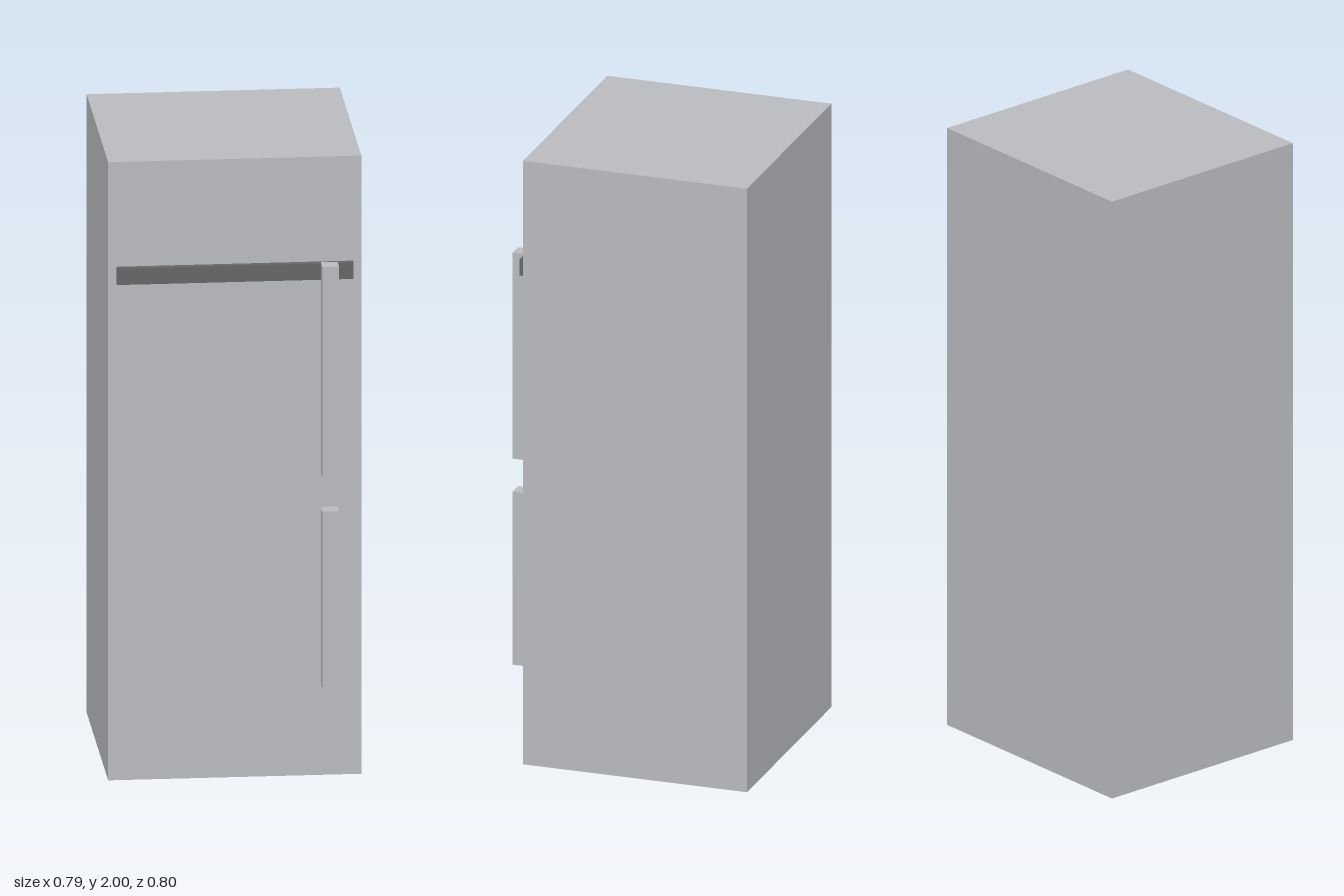
import * as THREE from 'three';

const steel = new THREE.MeshStandardMaterial({ name: 'brushed steel', color: 0xb9babe });
const darkGrey = new THREE.MeshStandardMaterial({ name: 'dark grey', color: 0x666666 });

// Box given by its minimum and maximum corners
function box(name, material, min, max) {
  const size = max.map((v, i) => v - min[i]);
  const mesh = new THREE.Mesh(new THREE.BoxGeometry(...size), material);
  mesh.position.set(...max.map((v, i) => (v + min[i]) / 2));
  mesh.name = name;
  return mesh;
}

export function createModel() {
  const fridge = new THREE.Group();
  fridge.name = 'refrigerator';

  // Cabinet
  fridge.add(box('cabinet', steel, [-0.394, 0, -0.398], [0.394, 2, 0.338]));

  // Dark strip across the front
  fridge.add(box('frontStrip', darkGrey, [-0.368, 1.608, 0.338], [0.368, 1.661, 0.359]));

  // Door handles, standing slightly clear of the front
  const handles = [['upperHandle', 0.979, 1.661], ['lowerHandle', 0.296, 0.869]];
  for (const [name, bottom, top] of handles) {
    fridge.add(box(name, steel, [0.267, bottom, 0.346], [0.319, top, 0.398]));
  }

  return fridge;
}
